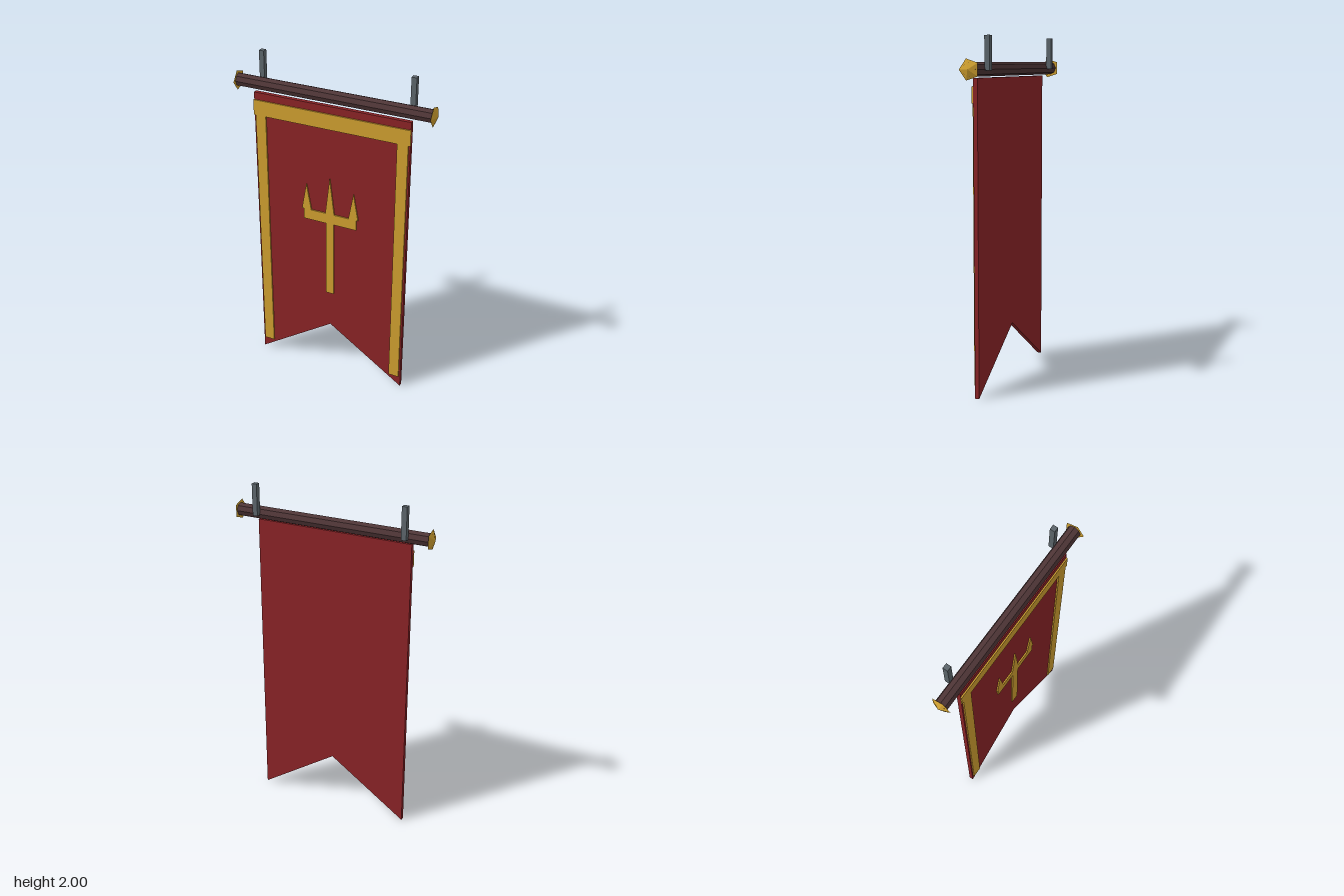
import * as THREE from 'three';

export function createModel() {
  const group = new THREE.Group();
  const mat = (name, color) => {
    const m = new THREE.MeshStandardMaterial({ color, flatShading: true });
    m.name = name;
    return m;
  };
  const red = mat('red cloth', 0x8a2326);
  const gold = mat('gold', 0xd0a030);
  const wood = mat('dark wood', 0x4e3536);
  const iron = mat('iron', 0x5c656b);

  const add = (name, geometry, material, x = 0, y = 0, z = 0) => {
    const mesh = new THREE.Mesh(geometry, material);
    mesh.name = name;
    mesh.position.set(x, y, z);
    group.add(mesh);
    return mesh;
  };
  const plate = (points, depth) => new THREE.ExtrudeGeometry(
    new THREE.Shape(points.map(([x, y]) => new THREE.Vector2(x, y))),
    { depth, bevelEnabled: false });

  // Swallow-tailed cloth
  add('cloth', plate([[-0.475, 0], [0, 0.32], [0.475, 0], [0.475, 1.775], [-0.475, 1.775]], 0.025),
    red, 0, 0, 0.007);

  // Gold border and trident, thin plates on the front of the cloth
  const face = 0.032, thin = 0.008;
  add('topTrim', new THREE.BoxGeometry(0.954, 0.092, thin), gold, 0, 1.685, face + thin / 2);
  const half = [
    [0.025, 0.555], [0.025, 1.04], [0.168, 1.04], [0.168, 1.105], [0.179, 1.105],
    [0.149, 1.27], [0.119, 1.105], [0.028, 1.105],
  ];
  const mirrored = half.map(([x, y]) => [-x, y]).reverse();
  add('trident', plate([...half, [0, 1.335], ...mirrored], thin), gold, 0, 0, face);

  // Hanging rod
  const rod = add('rod', new THREE.CylinderGeometry(0.038, 0.038, 1.19, 8), wood, 0, 1.82, 0);
  rod.rotation.z = Math.PI / 2;

  // Paired parts: side trim, rod caps and hanging brackets
  for (const s of [1, -1]) {
    const side = s > 0 ? 'left' : 'right';
    add(side + 'Trim', new THREE.BoxGeometry(0.064, 1.57, thin), gold, s * 0.433, 0.857, face + thin / 2);
    const cap = add(side + 'Cap', new THREE.ConeGeometry(0.06, 0.022, 5), gold, s * 0.6, 1.82, 0);
    cap.rotation.z = -s * Math.PI / 2;
    add(side + 'Bracket', new THREE.BoxGeometry(0.03, 0.185, 0.03), iron, s * 0.455, 1.9075, -0.047);
  }
  return group;
}
